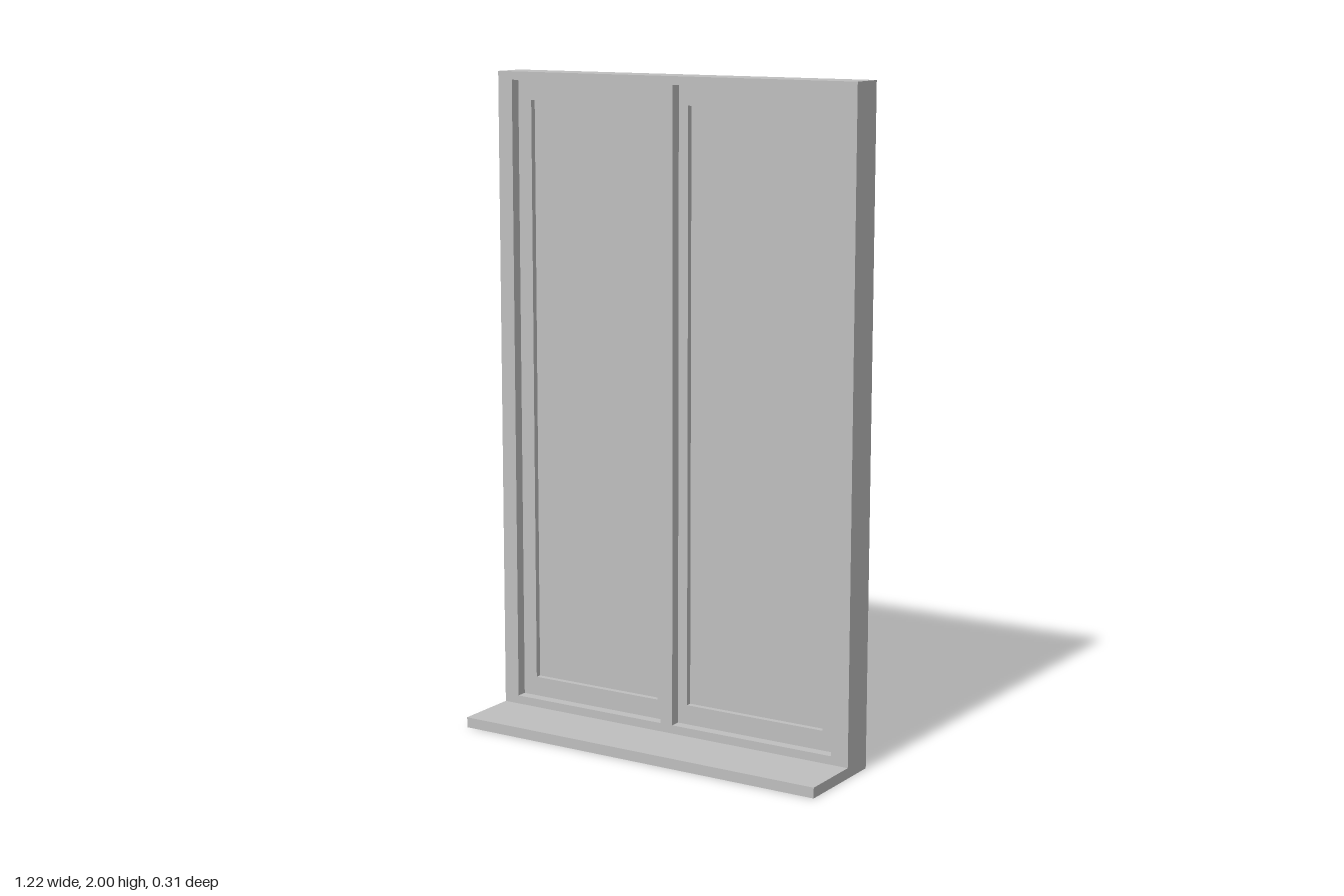
import * as THREE from 'three';

const WIDTH = 1.22, HEIGHT = 2;
const BACK = -0.157, SASH_FRONT = -0.078, FRONT = -0.045, SILL_FRONT = 0.157;

// Openings as [x0, x1, y0, y1]
const RECESSES = [[-0.56, -0.032, 0.058, 1.975], [0.01, 0.555, 0.058, 1.975]];
const PANES = [[-0.513, -0.064, 0.118, 1.915], [0.042, 0.508, 0.118, 1.915]];

function trace(path, [x0, x1, y0, y1]) {
  path.moveTo(x0, y0);
  path.lineTo(x1, y0);
  path.lineTo(x1, y1);
  path.lineTo(x0, y1);
  path.closePath();
  return path;
}

// Full-size slab between two depths, pierced by rectangular openings
function piercedSlab(openings, z0, z1) {
  const shape = trace(new THREE.Shape(), [-WIDTH / 2, WIDTH / 2, 0, HEIGHT]);
  shape.holes = openings.map((o) => trace(new THREE.Path(), o));
  const geometry = new THREE.ExtrudeGeometry(shape, { depth: z1 - z0, bevelEnabled: false });
  return geometry.translate(0, 0, z0);
}

function block([x0, x1, y0, y1], z0, z1) {
  return new THREE.BoxGeometry(x1 - x0, y1 - y0, z1 - z0)
    .translate((x0 + x1) / 2, (y0 + y1) / 2, (z0 + z1) / 2);
}

export function createModel() {
  const model = new THREE.Group();
  model.name = 'window';
  const grey = new THREE.MeshStandardMaterial({ color: 0xbfbfbf });
  grey.name = 'light grey';

  function add(name, geometry) {
    const mesh = new THREE.Mesh(geometry, grey);
    mesh.name = name;
    model.add(mesh);
  }

  // Outer frame in front, narrower sash openings behind it
  add('outerFrame', piercedSlab(RECESSES, SASH_FRONT, FRONT));
  add('sashFrame', piercedSlab(PANES, BACK, SASH_FRONT));

  // Panes recessed from both faces
  PANES.forEach((p, i) => add(i ? 'leftPane' : 'rightPane', block(p, -0.117, -0.096)));

  // Projecting sill
  add('sill', block([-WIDTH / 2, WIDTH / 2, 0, 0.032], FRONT, SILL_FRONT));
  return model;
}
